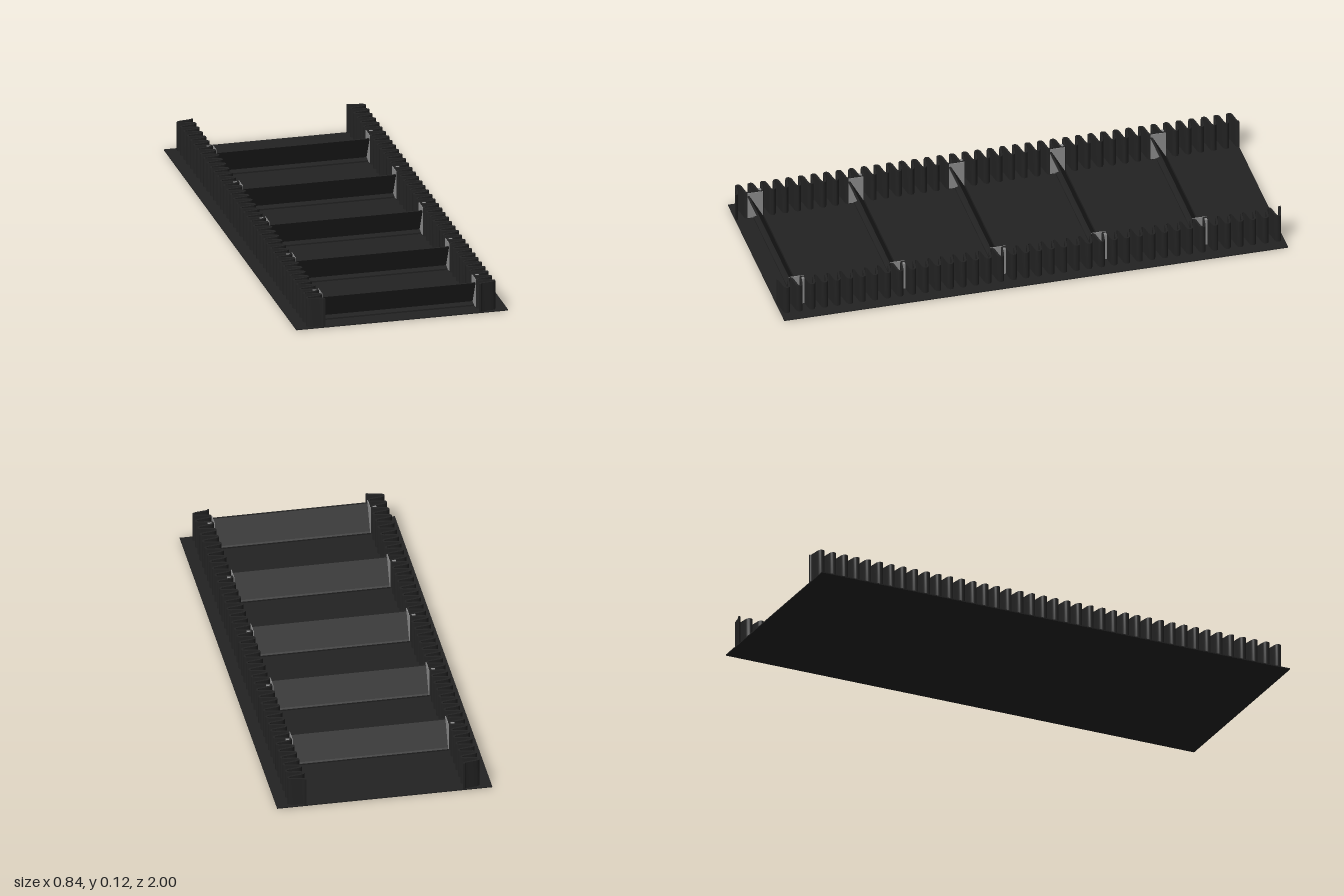
import * as THREE from 'three';
import { toCreasedNormals } from 'three/addons/utils/BufferGeometryUtils.js';

const BASE = 0.004, WALL_TOP = 0.12, PITCH = 0.05;
const rubber = new THREE.MeshStandardMaterial({ color: 0x222222 });
rubber.name = 'black rubber';
const steel = new THREE.MeshStandardMaterial({ color: 0x8c8c8c });
steel.name = 'grey steel';

function add(parent, name, geometry, material, x = 0, y = 0, z = 0) {
  const mesh = new THREE.Mesh(geometry, material);
  mesh.name = name;
  mesh.position.set(x, y, z);
  parent.add(mesh);
  return mesh;
}

// Corrugated ribbon: a squared-off wave thickened along its normals
function sidewallGeometry(side) {
  const half = 0.004, amp = 0.031, steep = 2.0, steps = 640;
  const waveX = z => 0.34 - amp * Math.tanh(steep * Math.cos(2 * Math.PI * z / PITCH)) / Math.tanh(steep);
  const inner = [], outer = [];
  for (let i = 0; i <= steps; i++) {
    const z = -1 + 2 * i / steps;
    const slope = (waveX(z + 1e-4) - waveX(z - 1e-4)) / 2e-4;
    const len = Math.hypot(1, slope);
    const dx = half / len, dz = -half * slope / len;
    const clampZ = v => Math.max(-1, Math.min(1, v));
    outer.push(new THREE.Vector2(side * (waveX(z) + dx), -clampZ(z + dz)));
    inner.push(new THREE.Vector2(side * (waveX(z) - dx), -clampZ(z - dz)));
  }
  const shape = new THREE.Shape([...outer, ...inner.reverse()]);
  const geometry = new THREE.ExtrudeGeometry(shape, { depth: WALL_TOP - BASE, bevelEnabled: false });
  geometry.rotateX(-Math.PI / 2);
  return toCreasedNormals(geometry, 0.7);
}

// Forward-leaning blade on a low foot, extruded across the belt
function cleatGeometry(width) {
  const profile = [
    [-0.012, 0], [-0.012, 0.006], [-0.006, 0.010], [0.046, 0.104],
    [0.055, 0.104], [0.008, 0.012], [0.03, 0.006], [0.03, 0],
  ];
  const shape = new THREE.Shape(profile.map(([z, y]) => new THREE.Vector2(z, y)));
  const geometry = new THREE.ExtrudeGeometry(shape, { depth: width, bevelEnabled: false });
  geometry.translate(0, 0, -width / 2);
  geometry.rotateY(-Math.PI / 2);
  return geometry;
}

export function createModel() {
  const model = new THREE.Group();
  model.name = 'cleatedConveyorBelt';

  // Flat belt
  add(model, 'beltBase', new THREE.BoxGeometry(0.84, BASE, 2), rubber, 0, BASE / 2, 0);

  // Corrugated side walls
  for (const side of [1, -1]) {
    add(model, side > 0 ? 'leftSidewall' : 'rightSidewall', sidewallGeometry(side), rubber, 0, BASE, 0);
  }

  // Cleats with steel end plates clamped through the wall corrugation
  const cleat = cleatGeometry(0.606);
  const plate = new THREE.BoxGeometry(0.003, 0.112, 0.06);
  const strip = new THREE.BoxGeometry(0.014, 0.112, 0.01);
  for (let i = 0; i < 5; i++) {
    const station = new THREE.Group();
    station.name = 'cleatStation';
    station.position.set(0, BASE, -0.7 + 0.4 * i);
    add(station, 'cleat', cleat, rubber);
    for (const side of [1, -1]) {
      add(station, 'endPlate', plate, steel, side * 0.3045, 0.06, 0.022);
      add(station, 'clampStrip', strip, steel, side * 0.322, 0.06, 0);
    }
    model.add(station);
  }
  return model;
}
